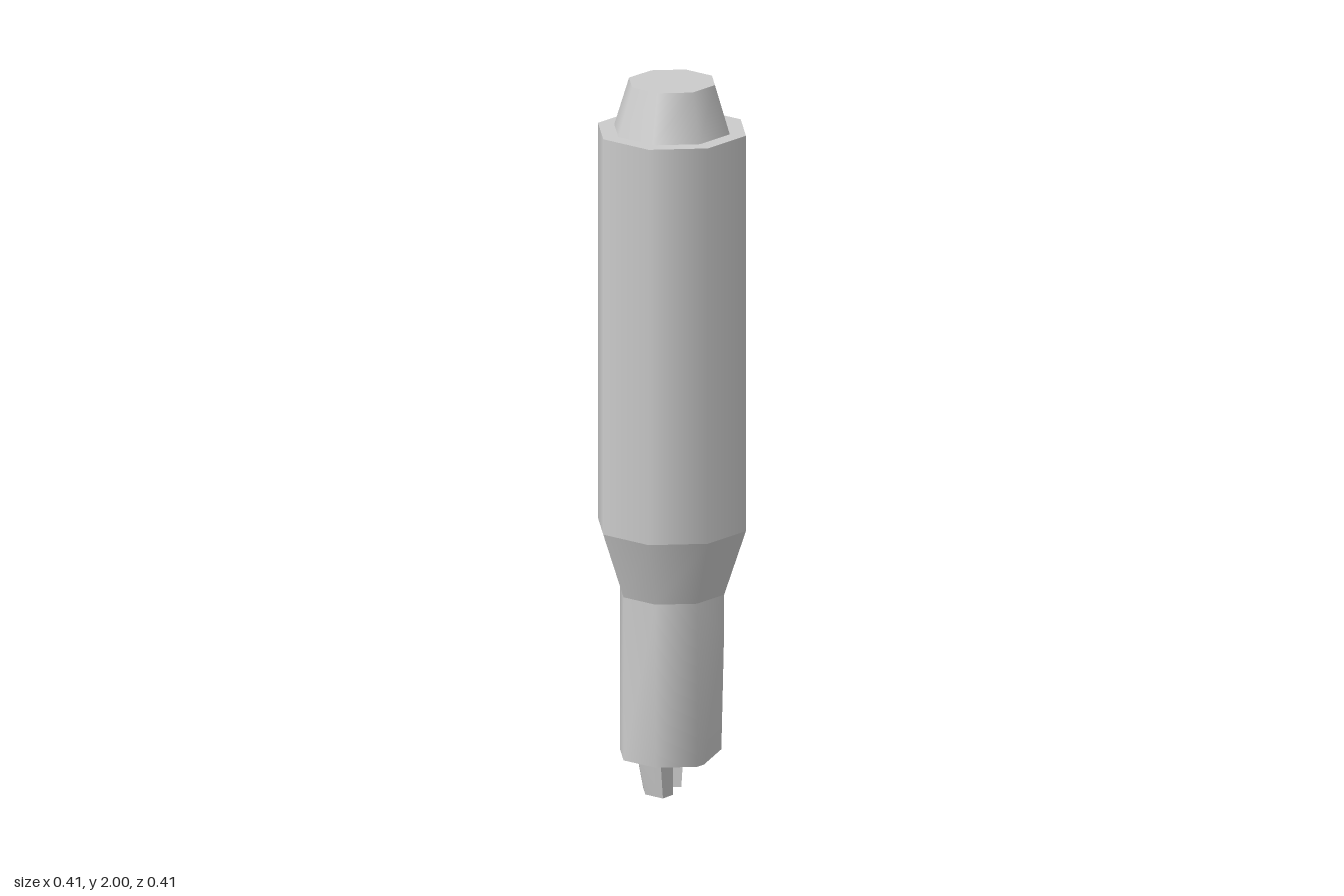
import * as THREE from 'three';
import { toCreasedNormals } from 'three/addons/utils/BufferGeometryUtils.js';

const SIDES = 8;
const TURN = Math.PI / 6; // puts one corner edge on the chamfered front
const CREASE = 0.9; // smooths the 45 degree corners, keeps right angles sharp
const material = new THREE.MeshStandardMaterial({ color: 0xcccccc, side: THREE.DoubleSide });

function add(group, name, geometry) {
  const mesh = new THREE.Mesh(geometry, material);
  mesh.name = name;
  group.add(mesh);
}

// Eight-sided section between two heights
function section(group, name, y0, r0, y1, r1, open) {
  const g = new THREE.CylinderGeometry(r1, r0, y1 - y0, SIDES, 1, open, TURN);
  g.translate(0, (y0 + y1) / 2, 0);
  add(group, name, g);
}

// Corner i of an octagon ring, counted from the chamfered corner
function corner(i, r, y) {
  const a = Math.PI / 3 + (i * Math.PI) / 4;
  return new THREE.Vector3(r * Math.cos(a), y, r * Math.sin(a));
}

// Lower shaft with a triangular chamfer cut out of one corner edge
function shaftGeometry(r, y0, y1, apexY) {
  const positions = [];
  const face = (...p) => {
    for (let i = 1; i < p.length - 1; i++) {
      for (const v of [p[0], p[i], p[i + 1]]) positions.push(v.x, v.y, v.z);
    }
  };
  const top = [], low = [];
  for (let i = 0; i < SIDES; i++) {
    top.push(corner(i, r, y1));
    low.push(corner(i, r, y0));
  }
  const apex = corner(0, r, apexY);
  const cutLeft = low[0].clone().lerp(low[1], 0.75);
  const cutRight = low[0].clone().lerp(low[7], 0.75);
  for (let i = 1; i < 7; i++) face(top[i], top[i + 1], low[i + 1], low[i]);
  face(apex, top[0], top[1], low[1], cutLeft);
  face(apex, cutRight, low[7], top[7], top[0]);
  face(apex, cutLeft, cutRight);
  face(cutLeft, ...low.slice(1), cutRight);
  const g = new THREE.BufferGeometry();
  g.setAttribute('position', new THREE.Float32BufferAttribute(positions, 3));
  return toCreasedNormals(g, CREASE);
}

// Tapered tip: half an octagon with a notch on its open side
function tipGeometry(r, height, taper) {
  const points = [];
  for (let i = 2; i <= 6; i++) {
    const c = corner(i, r, 0);
    points.push(new THREE.Vector2(c.x, -c.z));
  }
  // notch corners as [sideways, forward] offsets
  for (const [s, f] of [[-0.048, 0.018], [-0.035, -0.03], [0.035, -0.03], [0.048, 0.018]]) {
    points.push(new THREE.Vector2(-0.866 * s + 0.5 * f, -(0.5 * s + 0.866 * f)));
  }
  const g = new THREE.ExtrudeGeometry(new THREE.Shape(points), { depth: height, bevelEnabled: false });
  g.rotateX(-Math.PI / 2);
  const p = g.attributes.position;
  for (let i = 0; i < p.count; i++) {
    const k = taper + (1 - taper) * (p.getY(i) / height);
    p.setX(i, p.getX(i) * k);
    p.setZ(i, p.getZ(i) * k);
  }
  return toCreasedNormals(g, CREASE);
}

export function createModel() {
  const group = new THREE.Group();
  add(group, 'tip', tipGeometry(0.102, 0.105, 0.8));
  add(group, 'lowerShaft', shaftGeometry(0.148, 0.105, 0.565, 0.46));
  section(group, 'shoulder', 0.565, 0.148, 0.75, 0.21, true);
  section(group, 'body', 0.75, 0.21, 1.865, 0.21, false);
  section(group, 'endCap', 1.865, 0.164, 2, 0.122, false);
  return group;
}
